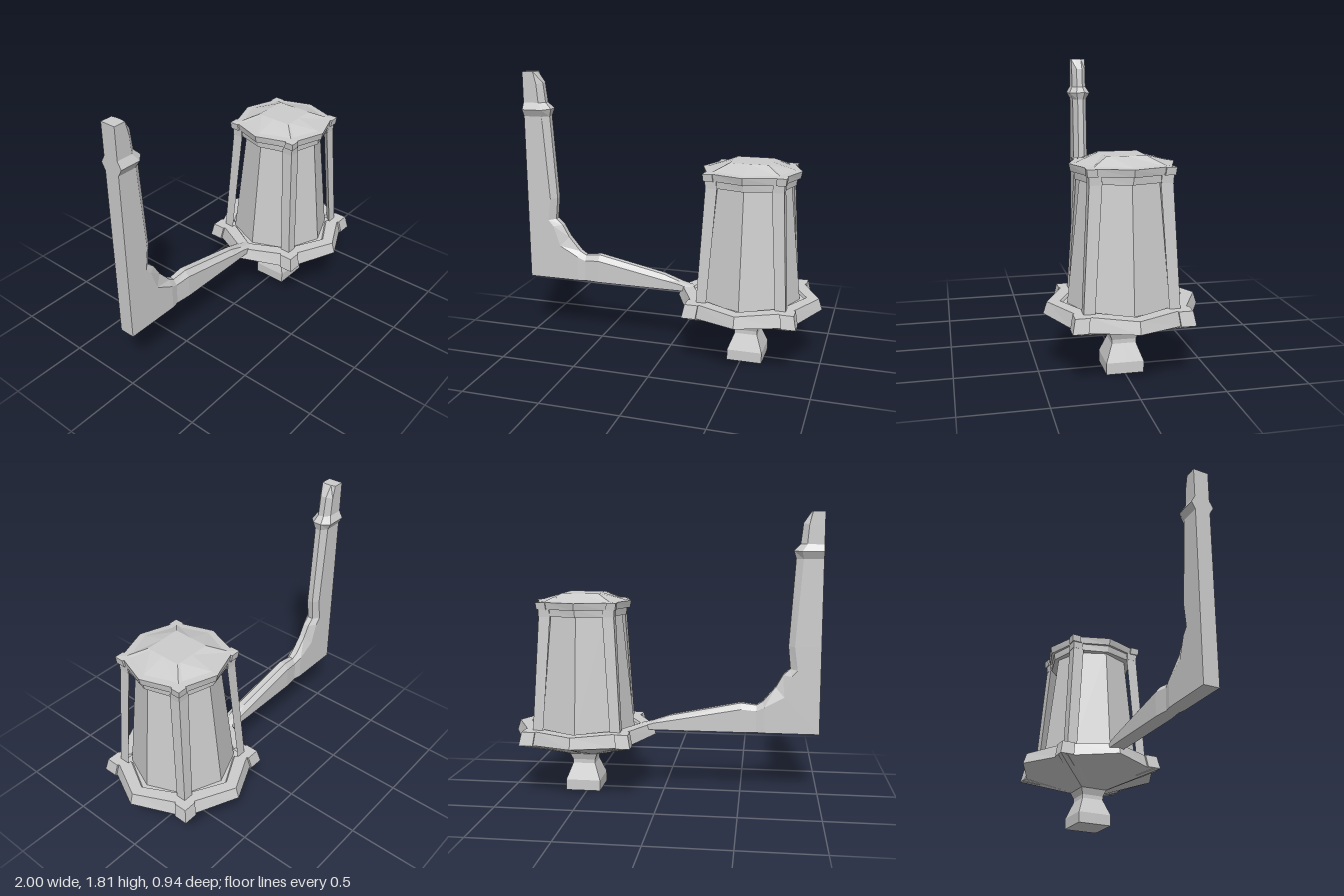
import * as THREE from 'three';

const material = new THREE.MeshStandardMaterial({ color: 0xcccccc, flatShading: true });

function part(name, geometry, parent) {
  const mesh = new THREE.Mesh(geometry, material);
  mesh.name = name;
  parent.add(mesh);
  return mesh;
}

// Closed, faceted skin through rings that share one point count
function loft(rings) {
  const pos = [];
  const tri = (...pts) => pts.forEach((p) => pos.push(...p));
  const n = rings[0].length;
  const centre = (ring) => [0, 1, 2].map((k) => ring.reduce((s, p) => s + p[k], 0) / n);
  const first = rings[0], last = rings[rings.length - 1];
  const c0 = centre(first), c1 = centre(last);
  for (let i = 0; i < n; i++) {
    const j = (i + 1) % n;
    for (let k = 0; k + 1 < rings.length; k++) {
      const a = rings[k], b = rings[k + 1];
      tri(a[i], b[i], b[j]);
      tri(a[i], b[j], a[j]);
    }
    tri(c0, first[i], first[j]);
    tri(c1, last[j], last[i]);
  }
  const geometry = new THREE.BufferGeometry();
  geometry.setAttribute('position', new THREE.Float32BufferAttribute(pos, 3));
  geometry.computeVertexNormals();
  return geometry;
}

// Octagon pointing along the axes (reach r) with square blocks at the diagonals (corner c, width w)
function outline(y, r, c, w, notch = 0.012, cornerY = y) {
  const ring = [];
  for (let q = 0; q < 4; q++) {
    const co = Math.round(Math.cos(q * Math.PI / 2)), si = Math.round(Math.sin(q * Math.PI / 2));
    const add = (x, z, h) => ring.push([x * co - z * si, h, x * si + z * co]);
    add(r, 0, y);
    add(c - notch, c - w, cornerY);
    add(c, c - w, cornerY);
    add(c, c, cornerY);
    add(c - w, c, cornerY);
    add(c - w, c - notch, cornerY);
  }
  return ring;
}
const square = (y, h) => outline(y, h, h, 0.02, 0);

function buildLantern() {
  const lantern = new THREE.Group();
  lantern.name = 'lantern';

  part('finial', loft([
    square(0, 0.113), square(0.07, 0.113), square(0.175, 0.073), square(0.2, 0.073), square(0.25, 0.093),
  ]), lantern);

  part('base', loft([
    square(0.24, 0.085),
    outline(0.37, 0.47, 0.355, 0.09, 0.015, 0.355),
    outline(0.44, 0.448, 0.338, 0.085, 0.015),
    outline(0.44, 0.37, 0.27, 0.06),
    outline(0.425, 0.36, 0.262, 0.06),
  ]), lantern);

  // Tapered eight-sided glass with an edge at the front
  const glass = part('glass', new THREE.CylinderGeometry(0.248, 0.327, 0.76, 8), lantern);
  glass.position.y = 0.8;

  // Corner posts and the small brackets under the base
  const postRing = (y, c, a) => [[c, y, a], [c, y, c], [a, y, c]];
  const post = loft([postRing(0.42, 0.281, 0.216), postRing(1.18, 0.238, 0.165)]);
  for (let q = 0; q < 4; q++) {
    part('post', post, lantern).rotation.y = q * Math.PI / 2;
    const angle = Math.PI / 4 + q * Math.PI / 2;
    const rib = part('baseRib', new THREE.BoxGeometry(0.13, 0.03, 0.06), lantern);
    rib.position.set(0.4 * Math.cos(angle), 0.345, 0.4 * Math.sin(angle));
    rib.rotation.set(0, -angle, 0.28, 'YZX');
  }

  part('topFrame', loft([
    outline(1.16, 0.278, 0.24, 0.07), outline(1.21, 0.283, 0.242, 0.07),
  ]), lantern);

  part('cap', loft([
    outline(1.205, 0.302, 0.25, 0.06),
    outline(1.25, 0.312, 0.255, 0.06),
    outline(1.255, 0.27, 0.205, 0.03, 0.005),
    square(1.3, 0.118),
  ]), lantern);

  lantern.position.x = 0.525;
  return lantern;
}

// Wall bracket: back point, side edge and ridge at each station, with half width
function buildBracket() {
  const stations = [
    // backX, backY, edgeX, edgeY, ridgeX, ridgeY, half width
    [0.16, 0.41, 0.16, 0.425, 0.16, 0.44, 0.048],
    [0.06, 0.41, 0.06, 0.455, 0.06, 0.465, 0.048],
    [-0.05, 0.41, -0.05, 0.475, -0.05, 0.505, 0.05],
    [-0.5, 0.41, -0.5, 0.56, -0.5, 0.597, 0.05],
    [-0.6, 0.41, -0.6, 0.55, -0.6, 0.585, 0.04],
    [-0.65, 0.41, -0.65, 0.575, -0.64, 0.61, 0.05],
    [-1, 0.41, -0.775, 0.645, -0.72, 0.705, 0.05],
    [-1, 0.78, -0.82, 0.78, -0.765, 0.785, 0.05],
    [-1, 0.82, -0.855, 0.82, -0.81, 0.825, 0.05],
    [-1, 0.97, -0.835, 0.97, -0.795, 0.97, 0.05],
    [-1, 1.52, -0.875, 1.52, -0.83, 1.52, 0.05],
    [-1, 1.565, -0.865, 1.565, -0.815, 1.57, 0.075],
    [-1, 1.61, -0.895, 1.61, -0.855, 1.61, 0.05],
    [-1, 1.73, -0.905, 1.73, -0.87, 1.74, 0.05],
    [-1, 1.81, -0.925, 1.81, -0.918, 1.81, 0.05],
  ];
  const z0 = -0.008;
  const rings = stations.map(([bx, by, ex, ey, rx, ry, h]) => {
    const t = h * 0.4;
    return [
      [rx, ry, z0 - t], [rx, ry, z0 + t], [ex, ey, z0 + h],
      [bx, by, z0 + h], [bx, by, z0 - h], [ex, ey, z0 - h],
    ];
  });
  return loft(rings);
}

export function createModel() {
  const model = new THREE.Group();
  model.name = 'wallLantern';
  part('wallBracket', buildBracket(), model);
  model.add(buildLantern());
  return model;
}
